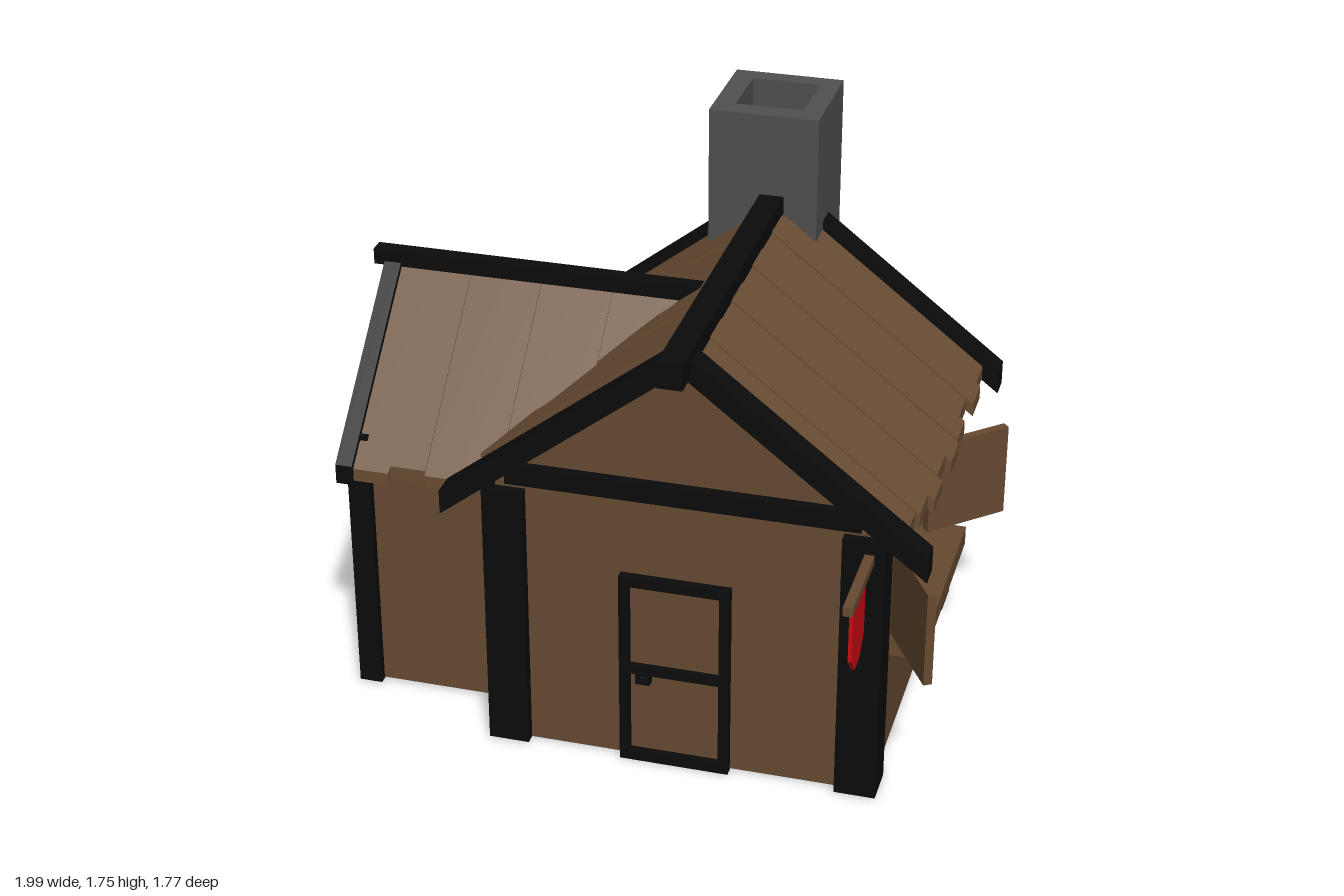
import * as THREE from 'three';

const mat = (color) => new THREE.MeshStandardMaterial({ color, flatShading: true });

export function createModel() {
  const house = new THREE.Group();
  const wood = mat(0x664a31), plank = mat(0x6b4e34), dark = mat(0x0b0b0b);
  const stone = mat(0x505050), red = mat(0xcc0d14);

  const add = (parent, name, geo, m) => {
    const mesh = new THREE.Mesh(geo, m);
    mesh.name = name;
    parent.add(mesh);
    return mesh;
  };
  // box given by its two extreme corners
  const box = (parent, name, m, x0, x1, y0, y1, z0, z1) => {
    const mesh = add(parent, name, new THREE.BoxGeometry(x1 - x0, y1 - y0, z1 - z0), m);
    mesh.position.set((x0 + x1) / 2, (y0 + y1) / 2, (z0 + z1) / 2);
    return mesh;
  };
  const shapeOf = (pts) => new THREE.Shape(pts.map((p) => new THREE.Vector2(p[0], p[1])));
  const rectHole = (x0, x1, y0, y1) => new THREE.Path(
    [[x0, y0], [x0, y1], [x1, y1], [x1, y0]].map((p) => new THREE.Vector2(p[0], p[1])));
  // outline in x/y, extruded from z0 to z1
  const prism = (parent, name, m, shape, z0, z1) => {
    const geo = new THREE.ExtrudeGeometry(shape, { depth: z1 - z0, bevelEnabled: false });
    return add(parent, name, geo.translate(0, 0, z0), m);
  };
  // sloping slab falling away from a ridge at x = 0 towards side s
  const slope = (s, d0, d1, top, k, t) => shapeOf([
    [s * d0, top - k * d0], [s * d1, top - k * d1],
    [s * d1, top - k * d1 - t], [s * d0, top - k * d0 - t]]);

  // ---- Main house: ridge along z ----
  const main = new THREE.Group();
  main.name = 'mainHouse';
  main.position.x = 0.18;
  house.add(main);
  const K = 0.775;
  prism(main, 'mainWalls', wood, shapeOf([
    [-0.59, 0.01], [0.5, 0.01], [0.5, 1.4 - K * 0.5], [0, 1.4], [-0.59, 1.4 - K * 0.59]]), -0.64, 0.55);

  // side wall with the serving window
  const side = shapeOf([[-0.55, 0.01], [0.64, 0.01], [0.64, 0.93], [-0.55, 0.93]]);
  side.holes.push(rectHole(-0.28, 0.37, 0.43, 0.77));
  const sideWall = prism(main, 'windowWall', wood, side, 0.5, 0.6);
  sideWall.rotation.y = Math.PI / 2;
  box(main, 'windowInterior', dark, 0.49, 0.51, 0.42, 0.78, -0.38, 0.29);

  // corner posts, tie beams, rakes and ridge
  for (const s of [-1, 1]) {
    const x0 = s < 0 ? -0.625 : 0.495;
    box(main, 'frontPost', dark, x0, x0 + 0.13, 0.01, 0.92, 0.455, 0.585);
    box(main, 'backPost', dark, x0, x0 + 0.13, 0.01, 0.92, -0.67, -0.535);
    prism(main, 'frontRake', dark, slope(s, 0, 0.755, 1.485, K, 0.08), 0.52, 0.6);
    prism(main, 'backRake', dark, slope(s, 0, 0.755, 1.485, K, 0.08), -0.71, -0.63);
  }
  box(main, 'frontTieBeam', dark, -0.55, 0.55, 0.945, 1.01, 0.5, 0.58);
  box(main, 'backTieBeam', dark, -0.55, 0.55, 0.945, 1.01, -0.665, -0.6);
  box(main, 'ridgeBeam', dark, -0.04, 0.04, 1.405, 1.485, -0.6, 0.7);

  // roof planks with uneven ends
  const ends = [0.7, 0.715, 0.69, 0.71, 0.715, 0.695, 0.71, 0.69, 0.675];
  ends.forEach((d, i) => {
    const z0 = -0.63 + i * 0.128;
    for (const s of [-1, 1]) {
      const lift = (i % 2) * 0.006;
      prism(main, 'mainRoofPlank', plank, slope(s, 0, d, 1.455 + lift, K, 0.045), z0, z0 + 0.128);
    }
  });

  // ---- Side wing: local z becomes world x, ridge along x ----
  const wing = new THREE.Group();
  wing.name = 'sideWing';
  wing.position.z = -0.055;
  wing.rotation.y = Math.PI / 2;
  house.add(wing);
  const W = 0.95;
  prism(wing, 'wingWalls', wood, shapeOf([
    [-0.42, 0.015], [0.42, 0.015], [0.42, 1.29 - W * 0.42], [0, 1.29], [-0.42, 1.29 - W * 0.42]]), -0.925, -0.35);
  const wingEnds = [0.515, 0.5, 0.508, 0.495, 0.5, 0.5, 0.5, 0.5];
  for (const s of [-1, 1]) {
    const c = s * 0.41;
    box(wing, 'wingPost', dark, c - 0.036, c + 0.036, 0.01, 0.93, -0.96, -0.885);
    prism(wing, 'wingRake', dark, slope(s, 0, 0.525, 1.36, W, 0.065), -0.965, -0.91);
    wingEnds.forEach((d, i) => {
      const z0 = -0.91 + i * 0.117;
      const top = 1.338 + (i % 2) * 0.005;
      prism(wing, 'wingRoofPlank', plank, slope(s, 0, d, top, W, 0.042), z0, z0 + 0.117);
    });
  }
  box(wing, 'wingTieBeam', dark, -0.4, 0.4, 0.86, 0.915, -0.95, -0.9);
  box(wing, 'wingRidgeBeam', dark, -0.026, 0.026, 1.323, 1.375, -1, 0.08);

  // ---- Chimney: wide base, tapered shoulders, hollow top ----
  prism(house, 'chimneyStack', stone, shapeOf([
    [-0.08, 0.08], [0.39, 0.08], [0.39, 0.74], [0.33, 0.8], [0.33, 1.6],
    [-0.03, 1.6], [-0.03, 0.8], [-0.08, 0.74]]), -0.89, -0.53);
  const rim = shapeOf([[-0.03, 0.53], [0.33, 0.53], [0.33, 0.89], [-0.03, 0.89]]);
  rim.holes.push(rectHole(0.04, 0.265, 0.6, 0.83));
  prism(house, 'chimneyRim', stone, rim, 1.6, 1.76).rotation.x = -Math.PI / 2;

  // ---- Door ----
  const door = new THREE.Group();
  door.name = 'door';
  house.add(door);
  box(door, 'doorLeaf', wood, 0, 0.32, 0.02, 0.65, 0.53, 0.558);
  const frame = shapeOf([[-0.015, 0.005], [0.335, 0.005], [0.335, 0.675], [-0.015, 0.675]]);
  frame.holes.push(rectHole(0.017, 0.303, 0.042, 0.642));
  prism(door, 'doorFrame', dark, frame, 0.515, 0.58);
  box(door, 'doorCrossbar', dark, 0.01, 0.31, 0.325, 0.358, 0.54, 0.575);
  const handle = shapeOf([[0.038, 0.296], [0.085, 0.296], [0.085, 0.332], [0.038, 0.332]]);
  handle.holes.push(rectHole(0.046, 0.077, 0.304, 0.324));
  prism(door, 'doorHandle', dark, handle, 0.555, 0.585);

  // ---- Window counter and open shutters ----
  box(house, 'counter', wood, 0.72, 0.89, 0.365, 0.43, -0.405, 0.32);
  const shutter = (x0, z0, x1, z1) => {
    const geo = new THREE.BoxGeometry(Math.hypot(x1 - x0, z1 - z0), 0.32, 0.028);
    const mesh = add(house, 'shutter', geo, wood);
    mesh.position.set((x0 + x1) / 2, 0.59, (z0 + z1) / 2);
    mesh.rotation.y = Math.atan2(z0 - z1, x1 - x0);
  };
  shutter(0.78, 0.27, 0.944, 0.545);
  shutter(0.765, -0.345, 0.982, -0.55);

  // ---- Hanging banner ----
  box(house, 'bannerPole', wood, 0.744, 0.774, 0.85, 0.88, 0.55, 0.885);
  const banner = prism(house, 'banner', red, shapeOf([
    [-0.835, 0.85], [-0.66, 0.85], [-0.66, 0.665], [-0.71, 0.605], [-0.785, 0.605], [-0.835, 0.665]]), 0.754, 0.765);
  banner.rotation.y = Math.PI / 2;

  return house;
}
